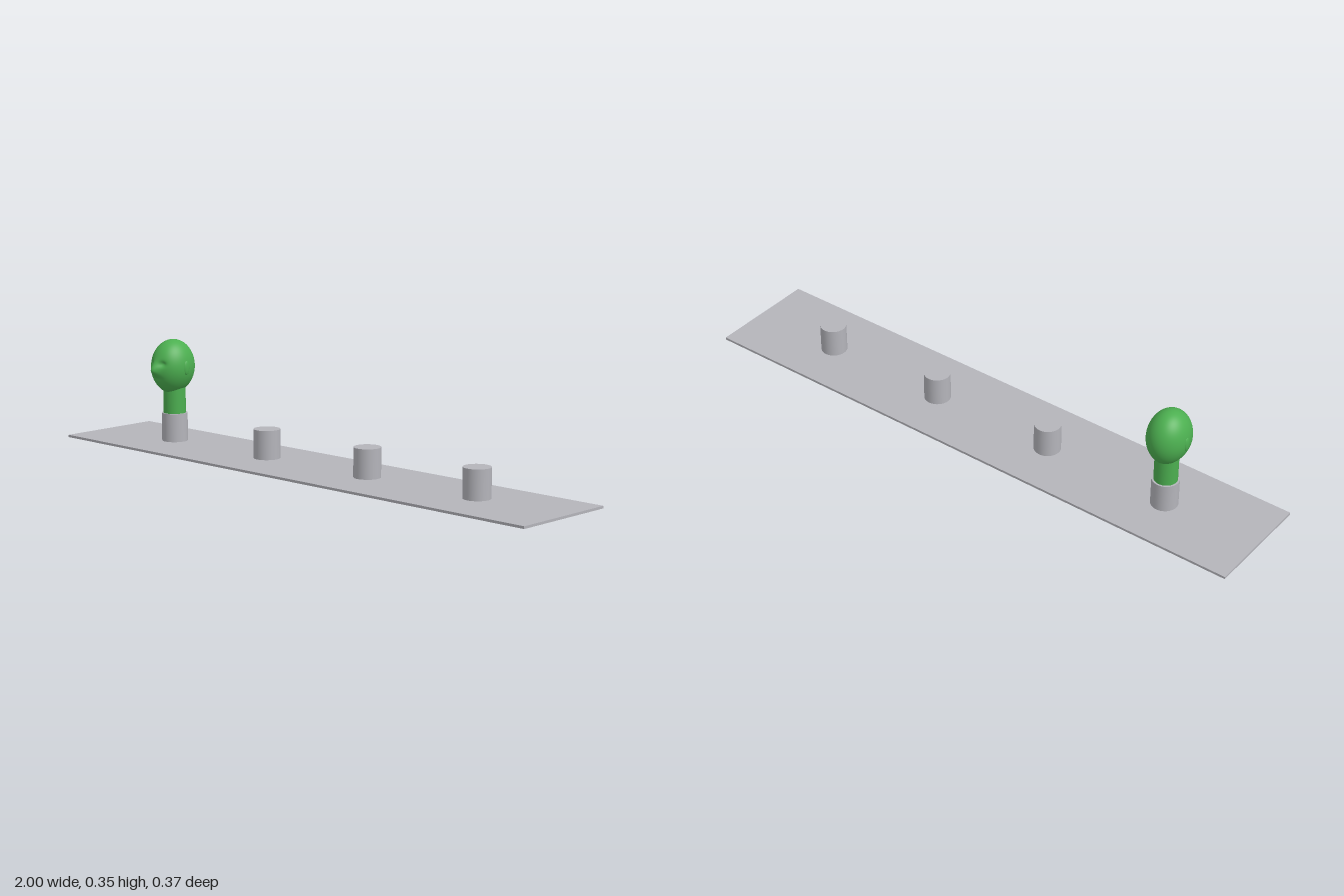
import * as THREE from 'three';
import { mergeVertices } from 'three/addons/utils/BufferGeometryUtils.js';

const gauss = (d, w) => Math.exp(-(d * d) / (w * w));

// Egg-shaped head with a pointed nose, eye sockets and a mouth crease
function headGeometry() {
  let geo = new THREE.SphereGeometry(1, 96, 72);
  geo.deleteAttribute('uv');
  geo.deleteAttribute('normal');
  geo = mergeVertices(geo, 1e-5);
  const p = geo.attributes.position;
  for (let i = 0; i < p.count; i++) {
    const ny = p.getY(i);
    const taper = ny < 0 ? 1 - 0.14 * ny * ny : 1;
    const x = p.getX(i) * 0.067 * taper;
    const y = ny * 0.092;
    let z = p.getZ(i) * 0.0795;
    if (z > 0) {
      const dy = y + 0.006;
      z += 0.0185 * gauss(x, 0.016) * gauss(dy, dy > 0 ? 0.024 : 0.017);
      z -= 0.008 * gauss(Math.abs(x) - 0.025, 0.011) * gauss(y - 0.016, 0.009);
      z -= 0.003 * gauss(x, 0.018) * gauss(y + 0.034, 0.006);
    }
    p.setXYZ(i, x, y, z);
  }
  geo.computeVertexNormals();
  return geo;
}

export function createModel() {
  const grey = new THREE.MeshStandardMaterial({ color: 0xb4b4ba });
  grey.name = 'grey';
  const green = new THREE.MeshStandardMaterial({ color: 0x4caf50 });
  green.name = 'green';

  const model = new THREE.Group();
  model.name = 'headStand';
  const add = (name, geo, mat, x, y, z, parent = model) => {
    const mesh = new THREE.Mesh(geo, mat);
    mesh.name = name;
    mesh.position.set(x, y, z);
    parent.add(mesh);
    return mesh;
  };

  // Base plate
  add('basePlate', new THREE.BoxGeometry(2, 0.008, 0.37), grey, 0, 0.004, 0);

  // Row of four pedestals
  const pedestal = new THREE.CylinderGeometry(0.0437, 0.0437, 0.098, 32);
  for (let i = 0; i < 4; i++) {
    add('pedestal' + (i + 1), pedestal, grey, -0.667 + i * 0.4447, 0.055, -0.007);
  }

  // Bust on the first pedestal
  const bust = new THREE.Group();
  bust.name = 'bust';
  bust.position.x = -0.667;
  model.add(bust);
  add('neck', new THREE.CylinderGeometry(0.0377, 0.0377, 0.116, 32), green, 0, 0.162, -0.007, bust);
  add('head', headGeometry(), green, 0, 0.263, -0.001, bust);

  // Flat oval ears
  const ear = new THREE.SphereGeometry(1, 24, 16);
  for (const side of [-1, 1]) {
    const mesh = add(side > 0 ? 'leftEar' : 'rightEar', ear, green, side * 0.064, 0.263, -0.004, bust);
    mesh.scale.set(0.006, 0.024, 0.012);
  }
  return model;
}
